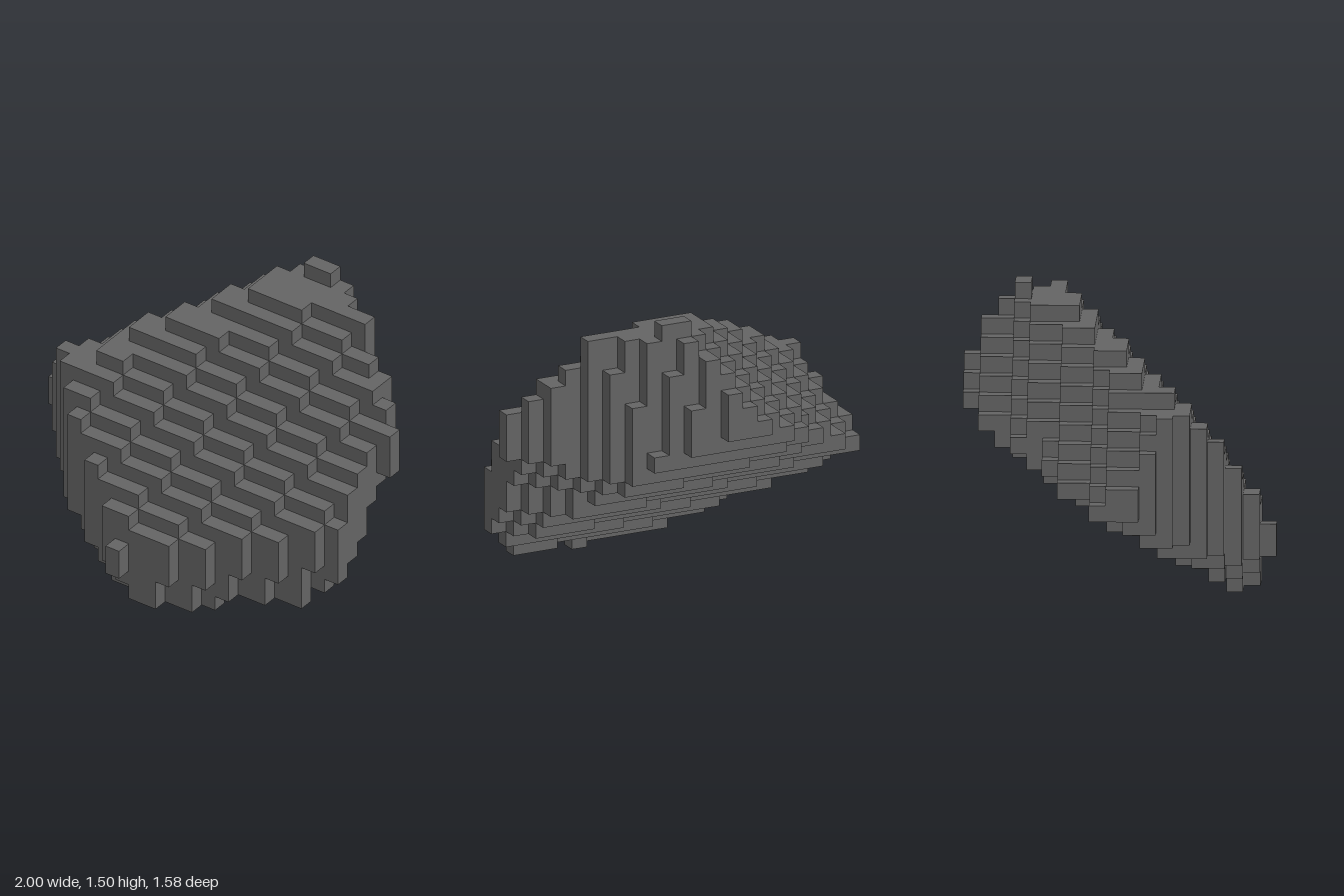
import * as THREE from 'three';
import { mergeGeometries } from 'three/addons/utils/BufferGeometryUtils.js';

const U = 1 / 12; // edge of one block

// outline seen from the front: x range of each layer, bottom to top
const FRONT = [[-3, 4], [-5, 9], [-6, 10], [-8, 11], [-10, 11], [-11, 11], [-12, 11], [-12, 11], [-11, 11],
  [-11, 12], [-10, 12], [-10, 12], [-7, 11], [-6, 10], [-4, 9], [-2, 8], [0, 8], [2, 4]];
// outline seen from the side: z range (block centres) of each layer, bottom to top
const SIDE = [[6, 8], [4, 8], [3, 9], [1, 9], [0, 8], [-2, 8], [-3, 7], [-5, 7], [-6, 6],
  [-7, 6], [-8, 5], [-9, 4], [-9, 3], [-9, 1], [-8, 0], [-8, -2], [-7, -3], [-6, -6]];
// outline seen from above: x range of each row, back to front
const PLAN = [[-2, 2], [-4, 3], [-4, 5], [-6, 6], [-6, 7], [-8, 8], [-10, 10], [-10, 11], [-12, 12], [-12, 11],
  [-12, 11], [-11, 11], [-10, 11], [-9, 10], [-8, 9], [-7, 6], [-5, 4], [-3, 2], [-2, -1]];

// slanted facets a*x + b*y + c*z <= d, in block units
const FACETS = [
  [0.29, 0.86, 1, 12.38],  // front
  [0, 1.73, 1, 25.6],      // brow along the top
  [0.55, -0.21, 1, 8.45],  // lower front, left side
  [-0.7, -0.6, 1, 8.66],   // lower front, right side
  [-1, 1, -0.65, 19.25],   // back, right side
  [0.7, 0.14, -1, 11.6],   // back, left side
  [0.98, -0.72, -1, 5.5],  // lower back, left side
  [-0.15, -1.6, -1, -7.3], // underside
];

const within = (v, range) => range !== undefined && v >= range[0] && v <= range[1];

function solid(i, j, k) {
  const x = i + 0.5, y = j + 0.5;
  return within(x, FRONT[j]) && within(k, SIDE[j]) && within(x, PLAN[k + 9]) &&
    FACETS.every(([a, b, c, d]) => a * x + b * y + c * k <= d);
}

// one square for each direction, placed on the face of a block at the origin
function makeSides() {
  const side = (dir, rx, ry) => ({
    dir,
    geometry: new THREE.PlaneGeometry(U, U).rotateX(rx).rotateY(ry)
      .translate(dir[0] * U / 2, dir[1] * U / 2, dir[2] * U / 2),
  });
  const q = Math.PI / 2;
  return [
    side([0, 0, 1], 0, 0), side([0, 0, -1], 0, 2 * q),
    side([1, 0, 0], 0, q), side([-1, 0, 0], 0, -q),
    side([0, 1, 0], -q, 0), side([0, -1, 0], q, 0),
  ];
}

export function createModel() {
  const group = new THREE.Group();
  group.name = 'boulder';
  const stone = new THREE.MeshStandardMaterial({ color: 0x646464 });
  stone.name = 'stone grey';

  // keep only the block faces that are exposed
  const sides = makeSides();
  const faces = [];
  for (let j = 0; j < 18; j++) {
    for (let i = -12; i < 12; i++) {
      for (let k = -9; k <= 9; k++) {
        if (!solid(i, j, k)) continue;
        for (const { dir, geometry } of sides) {
          if (solid(i + dir[0], j + dir[1], k + dir[2])) continue;
          faces.push(geometry.clone().translate((i + 0.5) * U, (j + 0.5) * U, k * U));
        }
      }
    }
  }

  const rock = new THREE.Mesh(mergeGeometries(faces), stone);
  rock.name = 'steppedRock';
  group.add(rock);
  return group;
}
